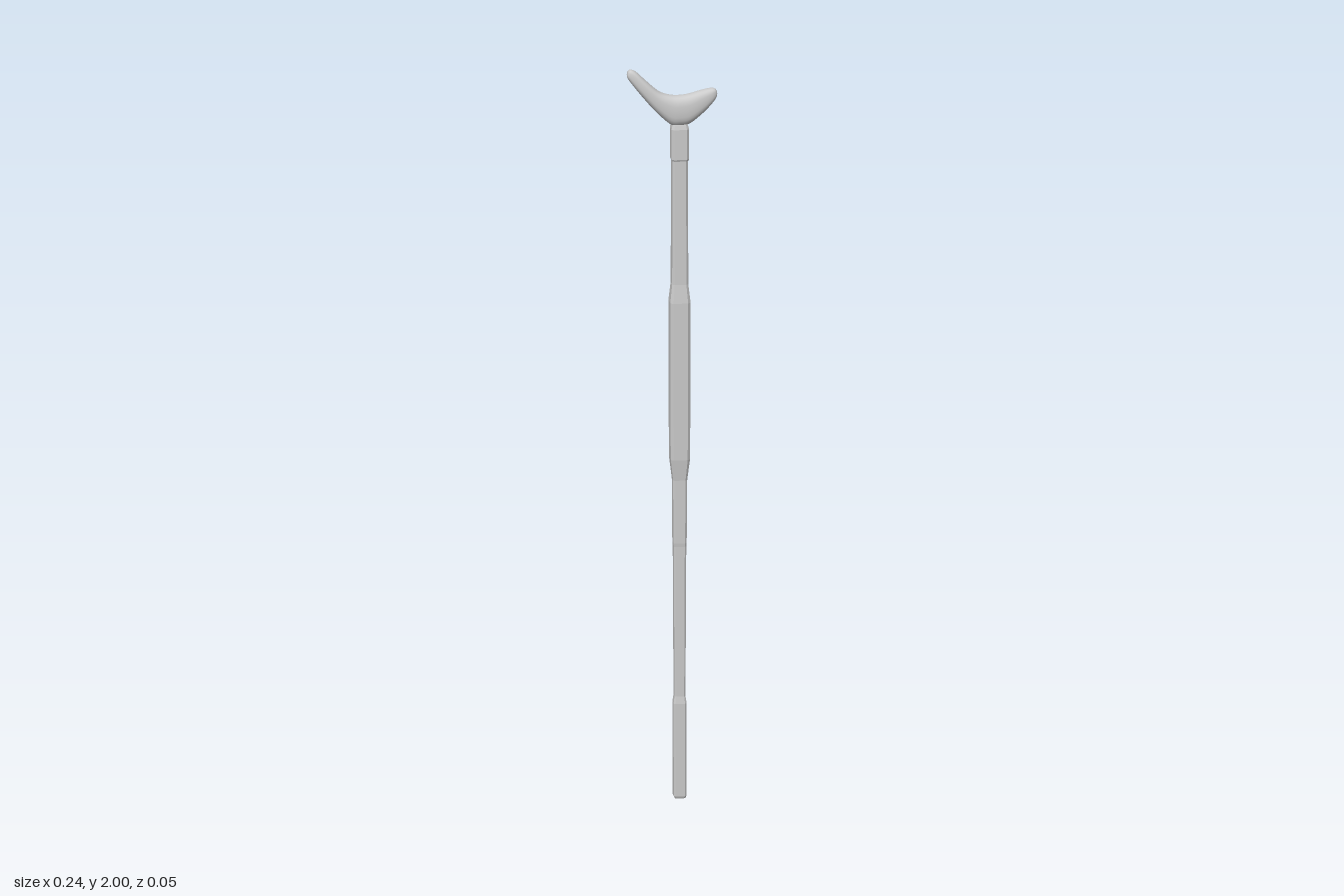
import * as THREE from 'three';

// Skin a list of rings (equal point counts); both ends are closed by fans.
function loft(rings, flat) {
  const n = rings[0].length;
  const centre = (ring) => ring.reduce((s, p) => s.add(p), new THREE.Vector3()).divideScalar(n);
  const points = rings.flat();
  const index = [];
  for (let i = 0; i < rings.length - 1; i++) {
    for (let j = 0; j < n; j++) {
      const a = i * n + j, b = i * n + (j + 1) % n;
      index.push(a, b, a + n, b, b + n, a + n);
    }
  }
  const first = points.length, last = first + 1, base = (rings.length - 1) * n;
  for (let j = 0; j < n; j++) {
    const k = (j + 1) % n;
    index.push(first, k, j, last, base + j, base + k);
  }
  let geometry = new THREE.BufferGeometry().setFromPoints(
    [...points, centre(rings[0]), centre(rings[rings.length - 1])]);
  geometry.setIndex(index);
  if (flat) geometry = geometry.toNonIndexed();
  geometry.computeVertexNormals();
  return geometry;
}

// Square ring with clipped corners, half width r at height y
function squareRing(y, r) {
  const c = r * 0.72, ring = [];
  for (let q = 0; q < 4; q++) {
    const turn = q * Math.PI / 2;
    for (const [u, v] of [[r, -c], [r, c]]) {
      ring.push(new THREE.Vector3(
        u * Math.cos(turn) - v * Math.sin(turn), y,
        -(u * Math.sin(turn) + v * Math.cos(turn))));
    }
  }
  return ring;
}

// Rounded ring spanning a top point and a bottom point, half depth w in z
function cradleRing([tx, ty, bx, by, w], sides = 24) {
  const soft = (v) => Math.sign(v) * Math.abs(v) ** 0.75;
  return Array.from({ length: sides }, (_, j) => {
    const a = j / sides * Math.PI * 2;
    const h = soft(Math.cos(a)) / 2;
    return new THREE.Vector3(
      (tx + bx) / 2 + (tx - bx) * h, (ty + by) / 2 + (ty - by) * h, w * soft(Math.sin(a)));
  });
}

export function createModel() {
  const group = new THREE.Group();
  const material = new THREE.MeshStandardMaterial({ color: 0xcccccc });
  const axisX = 0.02;

  const add = (name, geometry, x = 0) => {
    const mesh = new THREE.Mesh(geometry, material);
    mesh.name = name;
    mesh.position.x = x;
    group.add(mesh);
  };

  // Squared sections of the staff, listed as [height, half width]
  const sections = {
    footTip: [[0, 0.014], [0.006, 0.0165], [0.26, 0.0175], [0.28, 0.0145]],
    lowerShaft: [[0.27, 0.0145], [0.69, 0.0165], [0.7, 0.0175], [0.9, 0.019]],
    grip: [[0.87, 0.0185], [0.93, 0.0255], [1.15, 0.027], [1.36, 0.027], [1.41, 0.0215]],
    upperShaft: [[1.4, 0.0215], [1.76, 0.0205]],
    collar: [[1.748, 0.0215], [1.753, 0.0235], [1.835, 0.0235], [1.847, 0.0205]],
  };
  for (const [name, profile] of Object.entries(sections)) {
    add(name, loft(profile.map(([y, r]) => squareRing(y, r)), true), axisX);
  }

  // Forked cradle: [top x, top y, bottom x, bottom y, half depth]
  const cradle = [
    [-0.118, 1.994, -0.12, 1.985, 0.006],
    [-0.110, 1.999, -0.118, 1.976, 0.012],
    [-0.095, 1.992, -0.105, 1.957, 0.017],
    [-0.070, 1.968, -0.080, 1.925, 0.022],
    [-0.035, 1.937, -0.045, 1.884, 0.025],
    [-0.005, 1.926, -0.005, 1.847, 0.026],
    [0.020, 1.924, 0.020, 1.843, 0.026],
    [0.045, 1.927, 0.047, 1.848, 0.025],
    [0.075, 1.935, 0.083, 1.876, 0.022],
    [0.098, 1.940, 0.108, 1.902, 0.018],
    [0.112, 1.940, 0.118, 1.917, 0.012],
    [0.119, 1.934, 0.120, 1.926, 0.006],
  ];
  // Smooth the stations by splining the top and bottom edges together
  const spline = (pick) => new THREE.CatmullRomCurve3(cradle.map(pick), false, 'catmullrom', 0.5);
  const top = spline(([x, y, , , w]) => new THREE.Vector3(x, y, w));
  const bottom = spline(([, , x, y, w]) => new THREE.Vector3(x, y, w));
  const steps = 44;
  const rings = Array.from({ length: steps + 1 }, (_, i) => {
    const t = top.getPoint(i / steps), b = bottom.getPoint(i / steps);
    return cradleRing([t.x, t.y, b.x, b.y, t.z]);
  });
  add('cradle', loft(rings, false));

  return group;
}
